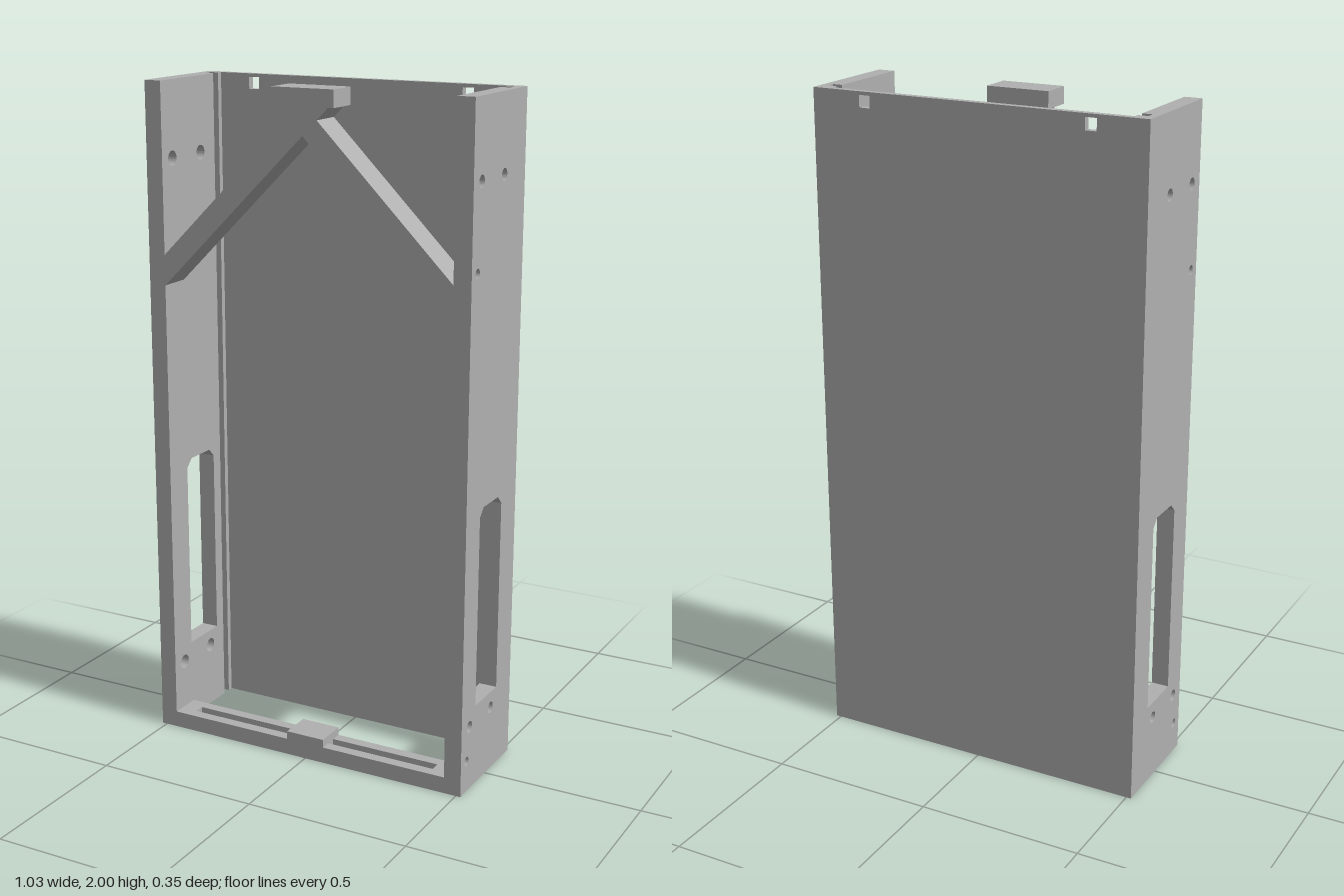
import * as THREE from 'three';

const H = 2, X = 0.515, XI = 0.462, Z = 0.173;

function polygon(points, Type = THREE.Shape) {
  return new Type(points.map(([x, y]) => new THREE.Vector2(x, y)));
}
const rect = (x0, y0, x1, y1, Type) => polygon([[x0, y0], [x1, y0], [x1, y1], [x0, y1]], Type);

function circle(x, y, r) {
  const path = new THREE.Path();
  path.absarc(x, y, r, 0, Math.PI * 2, true);
  return path;
}

export function createModel() {
  const model = new THREE.Group();
  const grey = new THREE.MeshStandardMaterial({ color: 0xb0b0b0 });
  grey.name = 'plain grey';

  function add(name, geometry) {
    const mesh = new THREE.Mesh(geometry, grey);
    mesh.name = name;
    model.add(mesh);
  }
  const extrude = (shape, depth) =>
    new THREE.ExtrudeGeometry(shape, { depth, bevelEnabled: false, curveSegments: 12 });

  // Back panel with two small square holes near the top
  const back = rect(-XI, 0, XI, H);
  for (const x of [-0.347, 0.347]) back.holes.push(rect(x - 0.017, 1.955, x + 0.017, 1.99, THREE.Path));
  add('backPanel', extrude(back, 0.021).translate(0, 0, -Z));

  // Side walls: layers drawn in (-z, y), then turned to stand along x
  const handle = () => polygon([[-0.08, 0.25], [0.07, 0.25], [0.07, 0.825], [0.045, 0.85],
    [-0.055, 0.85], [-0.08, 0.825]], THREE.Path);
  const screws = [[-0.12, 1.775], [0.03, 1.775], [-0.12, 0.2], [0.03, 0.2]];
  const pins = [[-0.135, 1.53], [-0.135, 0.097]];

  function wallLayer(name, side, u0, u1, x0, x1, holes) {
    const shape = rect(u0, 0, u1, H);
    shape.holes.push(...holes);
    const geometry = extrude(shape, x1 - x0).rotateY(Math.PI / 2);
    add(name, geometry.translate(side > 0 ? x0 : -x1, 0, 0));
  }
  for (const side of [-1, 1]) {
    const label = side > 0 ? 'left' : 'right';
    wallLayer(label + 'WallOuter', side, -Z, Z, 0.5, X, [handle(),
      ...screws.map(([u, y]) => circle(u, y, 0.018)), ...pins.map(([u, y]) => circle(u, y, 0.014))]);
    wallLayer(label + 'WallCore', side, -Z, Z, 0.492, 0.5, [handle()]);
    // Inner layer leaves a vertical groove near the back
    wallLayer(label + 'WallInner', side, -Z, 0.108, XI, 0.492, [handle(),
      ...screws.map(([u, y]) => circle(u, y, 0.022))]);
    wallLayer(label + 'GrooveLip', side, 0.135, Z, XI, 0.492, []);
  }

  // Front brace: two sloping arms meeting in a flared head
  const half = [[XI, 1.41], [XI, 1.5], [0.045, 1.915], [0.08, 1.95], [0.097, 1.95], [0.097, H]];
  const mirrored = half.map(([x, y]) => [-x, y]).reverse();
  add('frontBrace', extrude(polygon([[0, 1.87], ...half, ...mirrored]), 0.098).translate(0, 0, 0.075));

  // Bottom bar drawn in (x, -z), with two long slots and a centre hole
  const bar = rect(-XI, -Z, XI, -0.075);
  bar.holes.push(rect(-0.41, -0.14, -0.06, -0.108, THREE.Path),
    rect(0.06, -0.14, 0.41, -0.108, THREE.Path), circle(0, -0.124, 0.012));
  add('bottomBar', extrude(bar, 0.05).rotateX(-Math.PI / 2));

  // Raised tab in the middle of the bar
  add('bottomTab', new THREE.BoxGeometry(0.124, 0.025, 0.098).translate(0, 0.0625, 0.124));

  return model;
}
